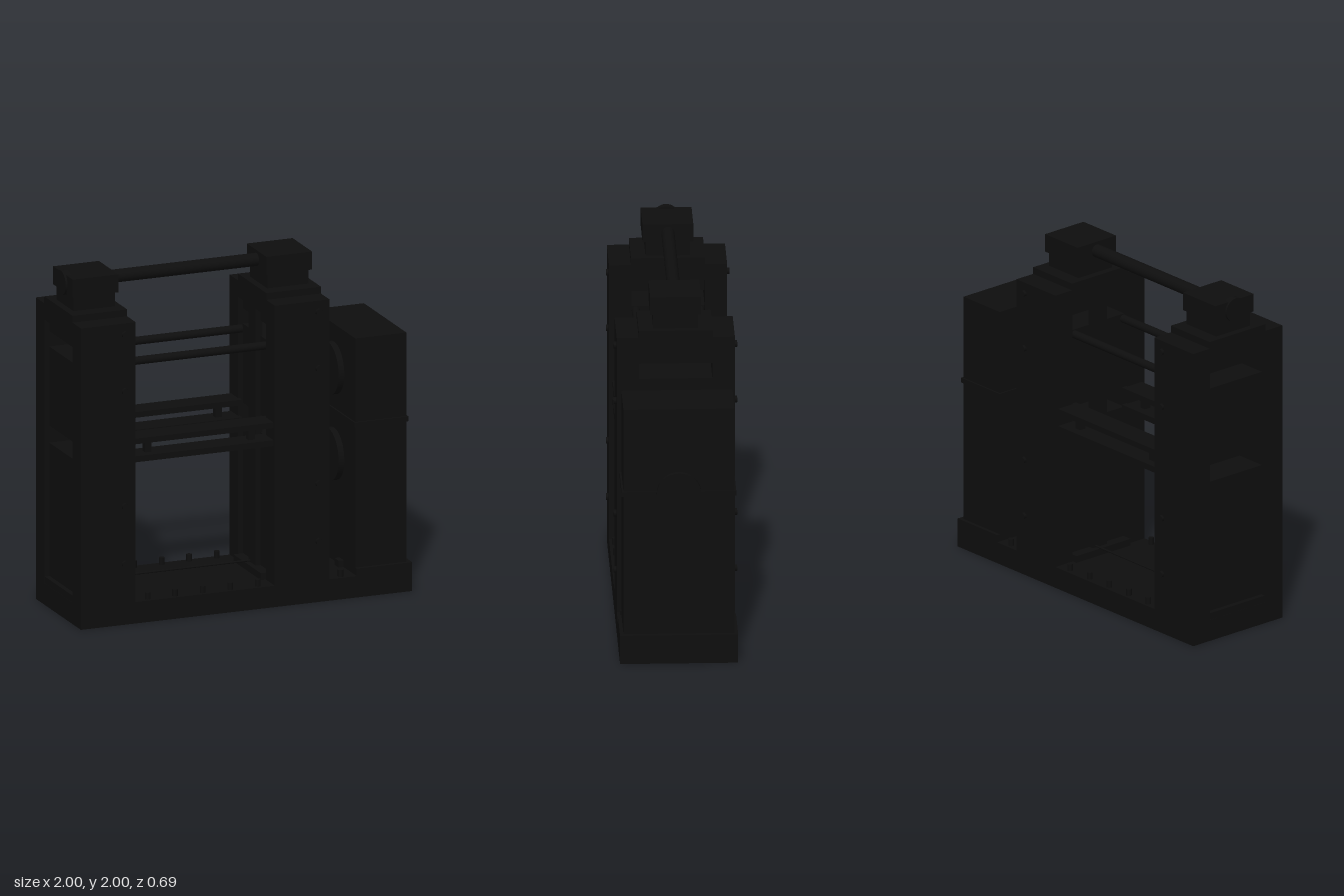
import * as THREE from 'three';

const black = new THREE.MeshStandardMaterial({ color: 0x0e0e0e });
black.name = 'black iron';

export function createModel() {
  const model = new THREE.Group();
  model.name = 'twinTowerPress';

  const add = (parent, name, geometry) => {
    const mesh = new THREE.Mesh(geometry, black);
    mesh.name = name;
    parent.add(mesh);
    return mesh;
  };
  // Box given by its limits on each axis
  const box = (parent, name, x0, x1, y0, y1, z0, z1) => {
    const mesh = add(parent, name, new THREE.BoxGeometry(x1 - x0, y1 - y0, z1 - z0));
    mesh.position.set((x0 + x1) / 2, (y0 + y1) / 2, (z0 + z1) / 2);
    return mesh;
  };
  // Cylinder along one axis, centred on a point
  const rod = (parent, name, axis, r, length, x, y, z, sides = 24) => {
    const geometry = new THREE.CylinderGeometry(r, r, length, sides);
    if (axis === 'x') geometry.rotateZ(Math.PI / 2);
    if (axis === 'z') geometry.rotateX(Math.PI / 2);
    const mesh = add(parent, name, geometry);
    mesh.position.set(x, y, z);
    return mesh;
  };

  // Base with a row of floor bolts along both long edges
  box(model, 'base', -1, 1, 0, 0.125, -0.33, 0.33);
  for (const x of [-0.585, -0.42, -0.253, -0.087, 0.08, 0.58]) {
    for (const z of [-0.3, 0.3]) rod(model, 'floorBolt', 'y', 0.016, 0.045, x, 0.143, z, 12);
  }

  // Tower: two flanges, a recessed web with two openings, a guide rail and a cap
  const makeTower = (name, centre) => {
    const tower = new THREE.Group();
    tower.name = name;
    tower.position.x = centre;
    const inner = centre < 0 ? 1 : -1;
    const h = 0.165;
    for (const s of [-1, 1]) {
      const [z0, z1] = s > 0 ? [0.205, 0.33] : [-0.33, -0.205];
      box(tower, 'flange', -h, h, 0.12, 1.755, z0, z1);
      for (const y of [0.355, 0.69, 1.36, 1.69]) {
        rod(tower, 'sideBolt', 'z', 0.02, 0.03, 0.1, y, s * 0.33, 6);
      }
    }
    const web = h - 0.03;
    for (const [y0, y1] of [[0.12, 0.94], [1.04, 1.5], [1.59, 1.7]]) {
      box(tower, 'web', -web, web, y0, y1, -0.205, 0.205);
    }
    box(tower, 'topBeam', -h, h, 1.66, 1.795, -0.207, 0.207);
    const rail = box(tower, 'guideRail', -0.02, 0.02, 0.12, 1.66, -0.052, 0.052);
    rail.position.x = inner * (h - 0.02);
    box(tower, 'foot', -h - 0.03, h + 0.03, 0.12, 0.165, -0.2, 0.2).scale.x =
      centre < 0 ? 0.84 : 1;
    if (centre < 0) box(tower, 'footEdge', h, h + 0.03, 0.12, 0.165, -0.2, 0.2);
    box(tower, 'neck', -0.125, 0.125, 1.79, 1.89, -0.125, 0.125);
    box(tower, 'cap', -0.138, 0.138, 1.88, 1.985, -0.142, 0.142);
    model.add(tower);
    return tower;
  };
  const rightTower = makeTower('rightTower', -0.835);
  makeTower('leftTower', 0.335);
  rod(rightTower, 'shaftEndDisc', 'x', 0.07, 0.04, -0.13, 1.93, 0, 32);

  // Members spanning the gap between the towers
  const mid = -0.25;
  rod(model, 'topShaft', 'x', 0.037, 0.94, mid, 1.932, 0);
  rod(model, 'floorCable', 'x', 0.006, 0.86, mid, 0.174, -0.03, 10);
  for (const s of [-1, 1]) {
    rod(model, 'tieRod', 'x', 0.023, 0.86, mid, 1.482, s * 0.18);
    const [z0, z1] = s > 0 ? [0.17, 0.31] : [-0.31, -0.17];
    box(model, 'lowerRail', -0.68, 0.18, 0.932, 0.967, z0, z1);
    box(model, 'upperRail', -0.68, 0.18, 1.037, 1.07, z0, z1);
    for (const x of [-0.565, 0.06]) {
      box(model, 'railSpacer', x - 0.019, x + 0.019, 0.96, 1.04, s * 0.24 - 0.02, s * 0.24 + 0.02);
    }
  }

  // Side cabinet on its plinth
  box(model, 'cabinetPlinth', 0.665, 1, 0.12, 0.168, -0.33, 0.33);
  box(model, 'cabinet', 0.665, 0.973, 0.16, 1.503, -0.31, 0.31);
  box(model, 'cabinetBand', 0.656, 0.982, 0.988, 1.016, -0.32, 0.32);
  box(model, 'cabinetFoot', 0.635, 0.67, 0.12, 0.165, 0.08, 0.14);
  rod(model, 'outerDisc', 'x', 0.125, 0.035, 0.9825, 1.005, 0, 32);
  for (const y of [0.75, 1.25]) rod(model, 'innerDisc', 'x', 0.15, 0.04, 0.65, y, 0, 32);

  return model;
}
